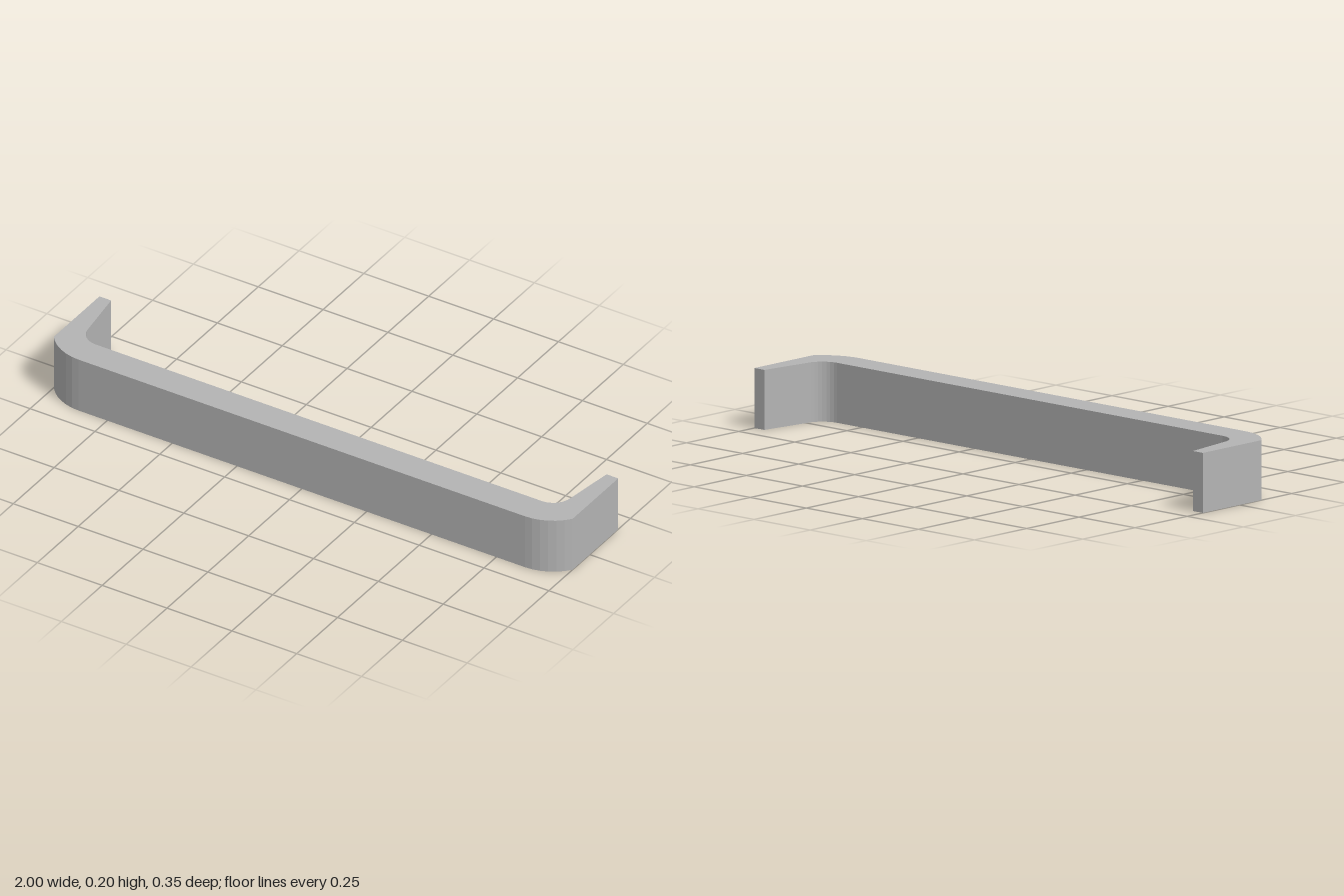
import * as THREE from 'three';

const HEIGHT = 0.2;   // bar height
const BACK = -0.175;  // z of the leg ends
const CX = 0.86;      // x of the corner centres (z = 0)
const R_OUT = 0.175;
const R_IN = 0.07;

// Points of an arc around the left corner centre, angles in radians
function arc(radius, from, to, steps) {
  return Array.from({ length: steps + 1 }, (_, i) => {
    const a = from + (to - from) * i / steps;
    return new THREE.Vector2(CX + radius * Math.cos(a), radius * Math.sin(a));
  });
}

export function createModel() {
  const group = new THREE.Group();
  group.name = 'pullHandle';
  const metal = new THREE.MeshStandardMaterial({ color: 0xb4b4b4 });
  metal.name = 'grey metal';

  // Half of the plan outline: inner face, leg end, outer face with its clipped corner
  const half = [
    ...arc(R_IN, Math.PI / 2, 0.06, 8),
    new THREE.Vector2(0.955, BACK),
    new THREE.Vector2(1, BACK),
    ...arc(R_OUT, Math.acos((1 - CX) / R_OUT), Math.PI / 2, 6),
  ];
  const mirrored = half.map(p => new THREE.Vector2(-p.x, p.y)).reverse();

  // Bar and both legs as one extruded plan, laid flat on the ground
  const geometry = new THREE.ExtrudeGeometry(new THREE.Shape([...half, ...mirrored]), {
    depth: HEIGHT, bevelEnabled: false,
  });
  geometry.rotateX(Math.PI / 2).translate(0, HEIGHT, 0);

  const bar = new THREE.Mesh(geometry, metal);
  bar.name = 'handleBar';
  group.add(bar);
  return group;
}
